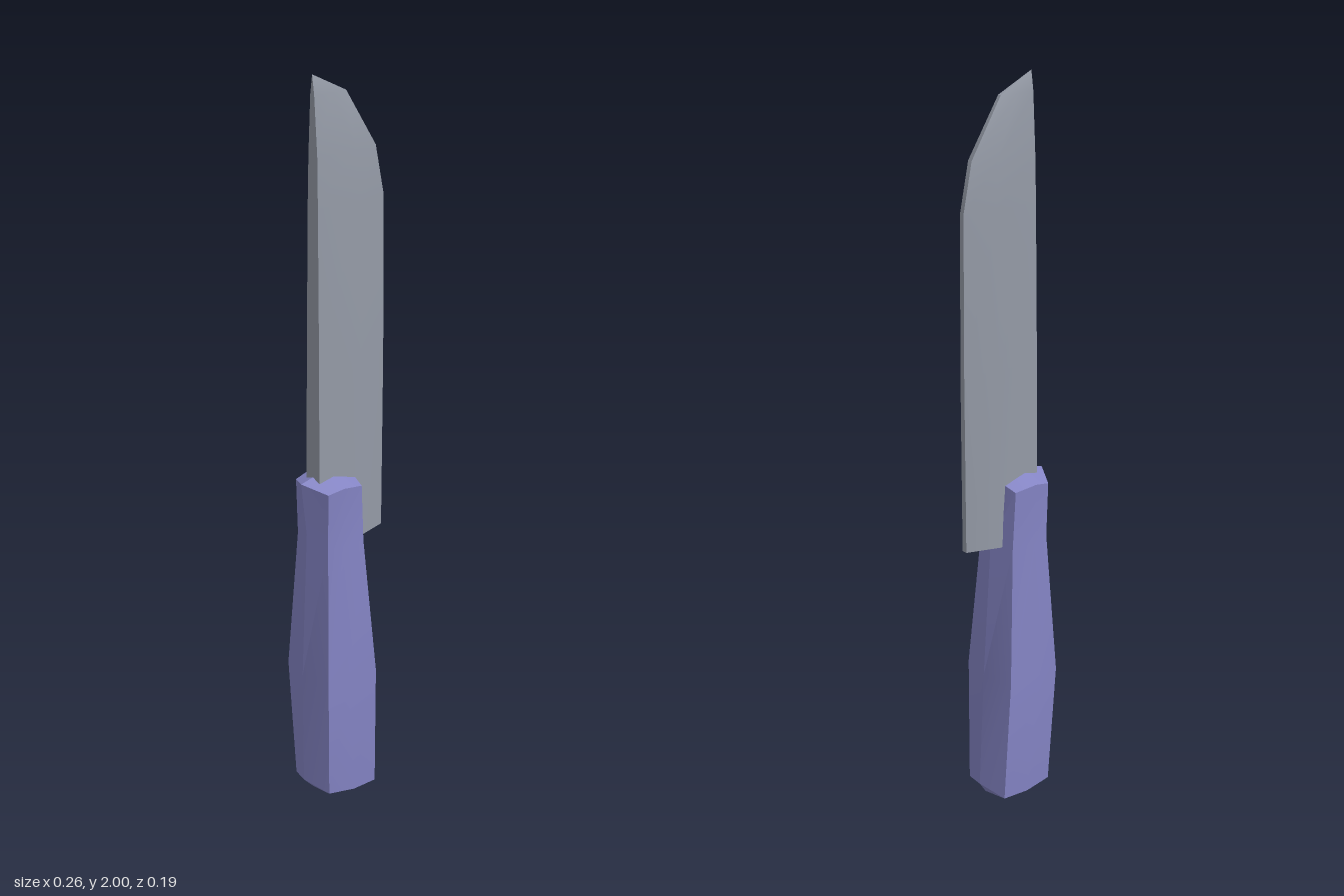
import * as THREE from 'three';
import { toCreasedNormals } from 'three/addons/utils/BufferGeometryUtils.js';

// Completes a half section (running from -x to +x on the +z side) by mirroring it in z.
function mirrorSection(half) {
  const back = half.filter((p) => p[2] > 0).reverse().map(([x, y, z]) => [x, y, -z]);
  return [...half, ...back];
}

// Skins a stack of half sections and closes each end with a fan to a point.
function loft(halves, bottom, top) {
  const rings = halves.map(mirrorSection);
  const n = rings[0].length;
  const points = [...rings.flat(), bottom, top];
  const iBottom = points.length - 2, iTop = points.length - 1;
  const last = (rings.length - 1) * n;
  const index = [];
  for (let j = 0; j < n; j++) {
    const k = (j + 1) % n;
    for (let i = 0; i < last; i += n) {
      index.push(i + j, i + k, i + n + k, i + j, i + n + k, i + n + j);
    }
    index.push(iBottom, k, j, iTop, last + j, last + k);
  }
  const geometry = new THREE.BufferGeometry();
  geometry.setAttribute('position', new THREE.Float32BufferAttribute(points.flat(), 3));
  geometry.setIndex(index);
  return toCreasedNormals(geometry, THREE.MathUtils.degToRad(28));
}

function part(name, geometry, color) {
  const mesh = new THREE.Mesh(geometry, new THREE.MeshStandardMaterial({ color }));
  mesh.name = name;
  return mesh;
}

export function createModel() {
  const group = new THREE.Group();
  group.name = 'knife';

  // Handle: ridged grip; each section is back ridge, back corner, side, front corner, front ridge
  const handle = loft([
    [[-0.1, 0.03, 0], [-0.09, 0.025, 0.03], [0, 0.015, 0.035], [0.05, 0.02, 0.03], [0.06, 0.02, 0]],
    [[-0.13, 0.06, 0], [-0.1, 0.04, 0.075], [-0.02, 0.03, 0.082], [0.055, 0.03, 0.078], [0.08, 0.05, 0]],
    [[-0.132, 0.38, 0], [-0.113, 0.38, 0.09], [-0.05, 0.38, 0.096], [0.045, 0.38, 0.093], [0.065, 0.38, 0]],
    [[-0.115, 0.79, 0], [-0.095, 0.77, 0.066], [-0.05, 0.76, 0.073], [0.02, 0.76, 0.068], [0.04, 0.77, 0]],
    [[-0.132, 0.937, 0], [-0.097, 0.92, 0.07], [-0.05, 0.93, 0.078], [0.012, 0.92, 0.07], [0.025, 0.94, 0]],
  ], [0, 0.005, 0], [-0.05, 0.96, 0]);
  group.add(part('handle', handle, 0x8484c4));

  // Blade: each section is spine centre, spine corner, bevel line, cutting edge
  // [y, spineX, bevelX, edgeX, spine half, bevel half, edge half]
  const blade = loft([
    [0.76, -0.095, 0.035, 0.127, 0.029, 0.037, 0.008],
    [1.25, -0.092, 0.037, 0.13, 0.026, 0.032, 0.008],
    [1.67, -0.09, 0.038, 0.128, 0.021, 0.026, 0.007],
    [1.8, -0.089, 0.03, 0.102, 0.018, 0.022, 0.007],
    [1.95, -0.09, -0.035, 0.01, 0.008, 0.01, 0.005],
  ].map(([y, xs, xb, xe, s, b, e]) => [[xs, y, 0], [xs, y, s], [xb, y, b], [xe, y, e]]),
  [0.02, 0.76, 0], [-0.09, 2, 0]);
  group.add(part('blade', blade, 0x949aa6));

  return group;
}
